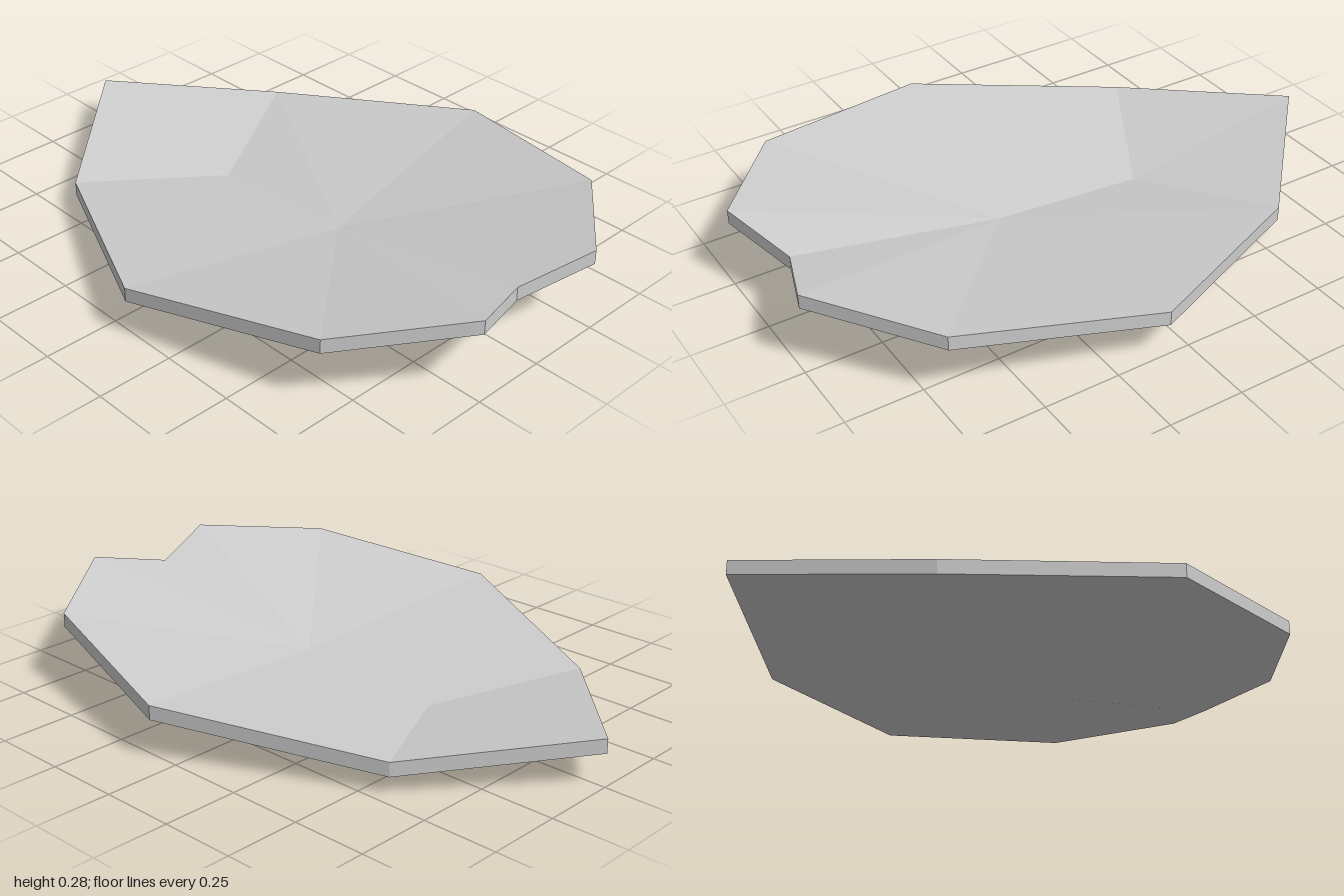
import * as THREE from 'three';

const THICKNESS = 0.047;

// Underside points of the +x half: rim from back tip to front notch
const RIM = [
  [0, 0.11, -1], [0.455, 0.057, -0.58], [0.77, 0.128, 0.085],
  [0.595, 0.197, 0.715], [0.245, 0.232, 0.995], [0, 0.178, 0.91],
];
// Two low points on the centre line
const BACK_LOW = [0, 0.002, -0.335];
const FRONT_LOW = [0, 0.04, 0.19];

const raise = ([x, y, z]) => [x, y + THICKNESS, z];
const mirror = ([x, y, z]) => [-x, y, z];

function makeGeometry(triangles) {
  // Mirror each triangle across x and reverse its winding
  const all = triangles.flatMap(([a, b, c]) => [[a, b, c], [mirror(a), mirror(c), mirror(b)]]);
  const geometry = new THREE.BufferGeometry();
  geometry.setAttribute('position', new THREE.Float32BufferAttribute(all.flat(2), 3));
  geometry.computeVertexNormals();
  return geometry;
}

export function createModel() {
  const group = new THREE.Group();
  group.name = 'leafPlate';
  const grey = new THREE.MeshStandardMaterial({ color: 0xcccccc });
  grey.name = 'light grey';

  // Facets fan out from the two low points; these wind upwards
  const facets = [
    [BACK_LOW, RIM[1], RIM[0]],
    [BACK_LOW, FRONT_LOW, RIM[1]],
  ];
  for (let i = 1; i < 5; i++) facets.push([FRONT_LOW, RIM[i + 1], RIM[i]]);

  // Thin wall around the rim
  const walls = [];
  for (let i = 0; i < 5; i++) {
    const a = RIM[i], b = RIM[i + 1];
    walls.push([a, raise(b), b], [a, raise(a), raise(b)]);
  }

  const parts = {
    topSurface: facets.map((t) => t.map(raise)),
    underside: facets.map(([a, b, c]) => [a, c, b]),
    rimWall: walls,
  };
  for (const [name, triangles] of Object.entries(parts)) {
    const mesh = new THREE.Mesh(makeGeometry(triangles), grey);
    mesh.name = name;
    group.add(mesh);
  }
  return group;
}
